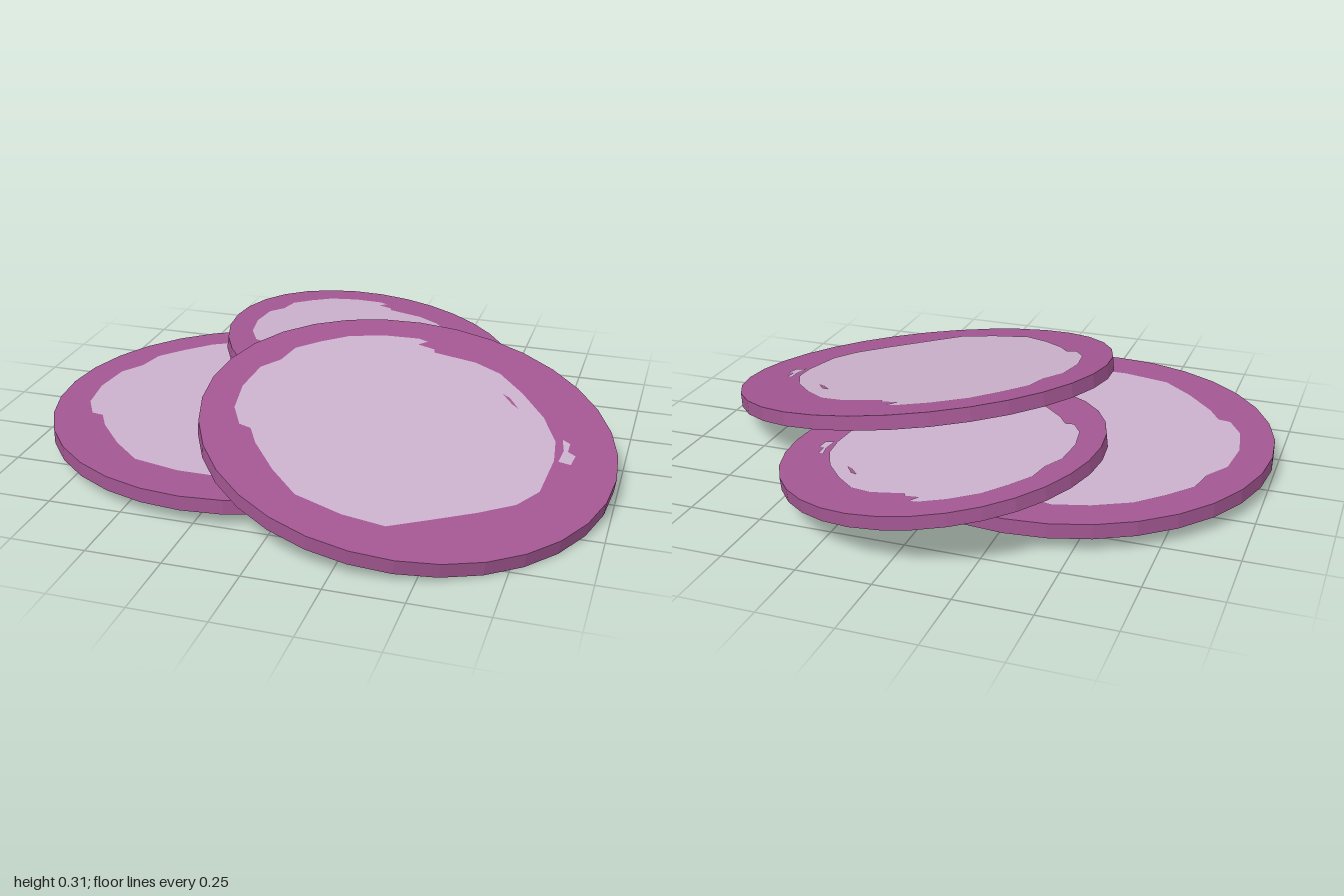
import * as THREE from 'three';

// Outline of the pale core on a unit disc, as [x, z] pairs
const CORE = [
  [-.11, -.80], [-.15, -.75], [-.06, -.74], [-.05, -.71], [.17, -.71], [.31, -.66], [.45, -.53],
  [.59, -.36], [.68, -.18], [.70, -.02], [.68, .25], [.60, .39], [.45, .52], [.25, .67],
  [.10, .78], [-.10, .78], [-.33, .73], [-.48, .60], [-.62, .44], [-.68, .34], [-.74, .33],
  [-.81, .21], [-.84, .02], [-.82, -.18], [-.75, -.29], [-.72, -.43], [-.62, -.55],
  [-.50, -.67], [-.33, -.76], [-.16, -.81],
];
// Small pale fleck beside the core, and a purple speck inside it
const FLECK = [[.71, -.21], [.75, -.19], [.75, -.12], [.79, -.10], [.78, -.02], [.72, -.02], [.73, -.12]];
const SPECK = [[.36, -.48], [.40, -.46], [.46, -.38], [.42, -.41]];

const SIDES = 32;

export function createModel() {
  const purple = new THREE.MeshStandardMaterial({ color: 0xa35792, flatShading: true });
  purple.name = 'purple skin';
  const pale = new THREE.MeshStandardMaterial({ color: 0xcab0cc });
  pale.name = 'pale core';

  // Flat core markings for the upper or lower face of a slice
  function coreGeometry(radius, top) {
    const place = ([x, z]) => top
      ? new THREE.Vector2(x * radius, -z * radius)
      : new THREE.Vector2(-z * radius, -x * radius);
    const core = new THREE.Shape(CORE.map(place));
    core.holes.push(new THREE.Path(SPECK.map(place)));
    const fleck = new THREE.Shape(FLECK.map(place));
    return new THREE.ShapeGeometry([core, fleck]).rotateX(top ? -Math.PI / 2 : Math.PI / 2);
  }

  // One round slice, tilted so that its upper face looks along the normal
  function slice({ name, radius, height, position, normal }) {
    const group = new THREE.Group();
    group.name = name;
    const disc = new THREE.Mesh(new THREE.CylinderGeometry(radius, radius, height, SIDES), purple);
    disc.name = name + 'Disc';
    group.add(disc);
    for (const top of [true, false]) {
      const core = new THREE.Mesh(coreGeometry(radius, top), pale);
      core.name = name + (top ? 'UpperCore' : 'LowerCore');
      core.position.y = (top ? 1 : -1) * (height / 2 + 0.002);
      group.add(core);
    }
    group.position.set(...position);
    group.quaternion.setFromUnitVectors(
      new THREE.Vector3(0, 1, 0), new THREE.Vector3(...normal).normalize());
    return group;
  }

  const model = new THREE.Group();
  model.name = 'slices';
  model.add(
    slice({ name: 'flatSlice', radius: 0.713, height: 0.05, position: [-0.287, 0.075, 0.053], normal: [0, 1, 0] }),
    slice({ name: 'backSlice', radius: 0.538, height: 0.045, position: [0.01, 0.163, -0.385], normal: [0.13, 0.99, 0] }),
    slice({ name: 'frontSlice', radius: 0.692, height: 0.05, position: [0.31, 0.155, 0.232], normal: [0.14, 0.98, 0.123] }),
  );
  return model;
}
